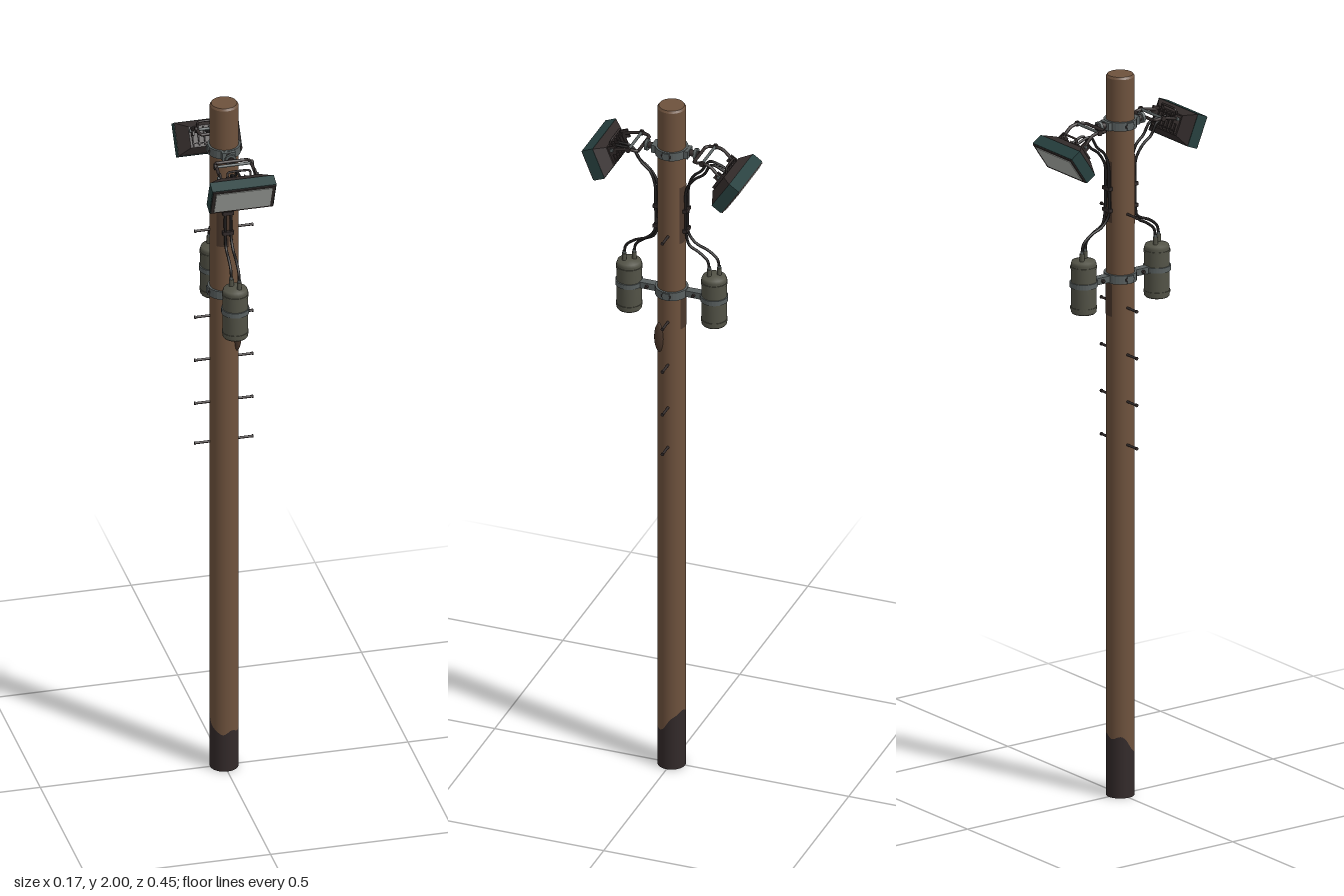
import * as THREE from 'three';

const mat = (name, color, side = THREE.FrontSide) => {
  const m = new THREE.MeshStandardMaterial({ color, side });
  m.name = name;
  return m;
};
const V = (x, y, z) => new THREE.Vector3(x, y, z);

export function createModel() {
  const wood = mat('wood', 0x6e523d);
  const tar = mat('tarred wood', 0x332a2a);
  const stainMat = mat('wood stain', 0x4a372b, THREE.DoubleSide);
  const teal = mat('teal paint', 0x27403f);
  const iron = mat('dark iron', 0x322b2a);
  const steel = mat('galvanised steel', 0x596060);
  const glass = mat('lamp glass', 0xa9aca7);
  const olive = mat('olive paint', 0x535347);
  const rubber = mat('cable rubber', 0x1f1d1d);

  const model = new THREE.Group();
  model.name = 'floodlightPole';

  const add = (parent, name, geo, m, x = 0, y = 0, z = 0) => {
    const mesh = new THREE.Mesh(geo, m);
    mesh.name = name;
    mesh.position.set(x, y, z);
    parent.add(mesh);
    return mesh;
  };
  const box = (p, name, m, w, h, d, x, y, z) => add(p, name, new THREE.BoxGeometry(w, h, d), m, x, y, z);
  const cyl = (p, name, m, r, h, x, y, z, axis = 'y', seg = 16) => {
    const g = new THREE.CylinderGeometry(r, r, h, seg);
    if (axis === 'x') g.rotateZ(Math.PI / 2);
    if (axis === 'z') g.rotateX(Math.PI / 2);
    return add(p, name, g, m, x, y, z);
  };
  const tube = (p, name, m, pts, r, seg = 40) =>
    add(p, name, new THREE.TubeGeometry(new THREE.CatmullRomCurve3(pts, false, 'centripetal'), seg, r, 8), m);
  const ring = (p, name, m, rIn, rOut, h, x, y, z) => {
    const a = h / 2;
    const pts = [[rIn, -a], [rOut, -a], [rOut, a], [rIn, a]].map(q => new THREE.Vector2(...q));
    const g = new THREE.LatheGeometry(pts, 28).toNonIndexed();
    g.computeVertexNormals();
    return add(p, name, g, m, x, y, z);
  };

  // Pole, split along an uneven tar line near the ground
  const R = 0.038;
  const tarLine = (x, z) => 0.142 - 0.027 * Math.tanh(z / 0.016) + 0.006 * Math.sin(x * 130);
  const shaft = (name, m, low, high) => {
    const g = new THREE.CylinderGeometry(R, R, 1, 40, 1, true);
    const p = g.attributes.position;
    for (let i = 0; i < p.count; i++) {
      const t = tarLine(p.getX(i), p.getZ(i));
      p.setY(i, p.getY(i) > 0 ? (high ?? t) : (low ?? t));
    }
    add(model, name, g, m);
  };
  shaft('poleFoot', tar, 0, null);
  shaft('poleShaft', wood, null, 1.994);
  add(model, 'poleTop', new THREE.CylinderGeometry(0.034, R, 0.006, 40), wood, 0, 1.997, 0);
  add(model, 'poleBottom', new THREE.CircleGeometry(R, 40).rotateX(Math.PI / 2), tar);

  // Weathered streaks and a knot on the shaft
  for (const [y, h, start, span] of [[1.68, 0.19, -0.8, 0.9], [1.68, 0.17, 2.5, 1.0], [1.38, 0.09, 2.6, 0.9]])
    add(model, 'stain', new THREE.CylinderGeometry(R + 0.0007, R + 0.0007, h, 10, 1, true, start, span), stainMat, 0, y, 0);
  const knot = add(model, 'knot', new THREE.SphereGeometry(1, 14, 10), stainMat, 0.029, 1.305, 0.022);
  knot.scale.set(0.012, 0.045, 0.016);

  // Climbing pegs
  for (const y of [0.98, 1.1, 1.23, 1.36, 1.62])
    for (const s of [-1, 1]) {
      cyl(model, 'climbingPeg', iron, 0.0035, 0.046, s * 0.057, y, -0.004, 'x', 8);
      cyl(model, 'pegHead', iron, 0.0048, 0.003, s * 0.0785, y, -0.004, 'x', 8);
    }

  // Clamp bands around the pole
  for (const y of [1.865, 1.44]) {
    ring(model, 'poleBand', steel, R - 0.001, 0.044, 0.024, 0, y, 0);
    for (const s of [-1, 1]) {
      box(model, 'bandLug', steel, 0.008, 0.02, 0.02, s * 0.0425, y, 0);
      cyl(model, 'bandBolt', iron, 0.004, 0.026, s * 0.043, y, 0, 'z', 6);
    }
  }

  // Floodlight, glass facing +z with the face centre at its origin
  const floodlight = () => {
    const g = new THREE.Group();
    g.name = 'floodlight';
    box(g, 'lampFrame', teal, 0.174, 0.09, 0.032, 0, 0, -0.019);
    box(g, 'lampRim', iron, 0.17, 0.086, 0.003, 0, 0, -0.0015);
    box(g, 'lampGlass', glass, 0.152, 0.072, 0.002, 0, 0, 0.001);
    const back = new THREE.CylinderGeometry(Math.SQRT1_2 * 0.64, Math.SQRT1_2, 0.022, 4, 1).toNonIndexed();
    back.rotateY(Math.PI / 4).rotateX(-Math.PI / 2).scale(0.172, 0.088, 1);
    back.computeVertexNormals();
    add(g, 'lampBack', back, iron, 0, 0, -0.046);
    for (let i = -3; i <= 3; i++) box(g, 'coolingFin', iron, 0.003, 0.05, 0.008, i * 0.016, 0, -0.06);
    for (const y of [-0.018, 0.018]) box(g, 'finRail', iron, 0.1, 0.003, 0.006, 0, y, -0.059);
    for (const s of [-1, 1]) {
      box(g, 'lampEar', iron, 0.005, 0.024, 0.024, s * 0.048, 0.014, -0.066);
      cyl(g, 'earBolt', steel, 0.005, 0.01, s * 0.051, 0.016, -0.068, 'x', 6);
    }
    return g;
  };

  // One lamp, its transformer and wiring; built toward +z
  const lampSide = (tilt, faceY, faceZ) => {
    const g = new THREE.Group();
    const lamp = floodlight();
    lamp.position.set(0, faceY, faceZ);
    lamp.rotation.x = tilt;
    g.add(lamp);
    const ear = (x, y, z) => V(x, y, z).applyEuler(lamp.rotation).add(lamp.position);

    // Arm and yoke
    box(g, 'armBase', steel, 0.036, 0.022, 0.012, 0, 1.865, 0.046);
    cyl(g, 'arm', iron, 0.009, 0.03, 0, 1.865, 0.062, 'z');
    cyl(g, 'armCollar', steel, 0.016, 0.008, 0, 1.865, 0.069, 'z', 8);
    cyl(g, 'yokeBar', iron, 0.0045, 0.084, 0, 1.865, 0.079, 'x', 8);
    cyl(g, 'pivotBar', steel, 0.004, 0.106, 0, 1.868, 0.104, 'x', 8);
    for (const s of [-1, 1]) {
      tube(g, 'yokeArm', iron, [V(s * 0.036, 1.865, 0.079), V(s * 0.045, 1.866, 0.084), V(s * 0.047, 1.868, 0.104),
        V(s * 0.048, 1.864, 0.125), ear(s * 0.048, 0.016, -0.068)], 0.0045, 20);
      cyl(g, 'pivotNut', iron, 0.008, 0.007, s * 0.05, 1.868, 0.104, 'x', 6);
      tube(g, 'lampHandle', iron, [ear(s * 0.03, 0.022, -0.054), ear(s * 0.03, 0.036, -0.066),
        ear(s * 0.014, 0.038, -0.068), ear(0, 0.038, -0.068)], 0.003, 16);
    }

    // Transformer can
    const profile = [[0, 1.36], [0.031, 1.36], [0.034, 1.364], [0.034, 1.496], [0.031, 1.504], [0.012, 1.508], [0, 1.508]];
    const can = new THREE.LatheGeometry(profile.map(q => new THREE.Vector2(...q)), 24);
    add(g, 'transformerCan', can, olive, 0, 0, 0.12);
    for (const y of [1.375, 1.487]) ring(g, 'canRib', olive, 0.033, 0.0355, 0.006, 0, y, 0.12);
    ring(g, 'canBand', steel, 0.033, 0.037, 0.014, 0, 1.44, 0.12);
    box(g, 'canBracket', steel, 0.022, 0.018, 0.048, 0, 1.44, 0.064);
    cyl(g, 'bracketBolt', iron, 0.005, 0.036, 0, 1.44, 0.066, 'x', 6);

    // Terminals and cables
    for (const s of [-1, 1]) {
      const x = s * 0.008, dz = s * 0.011;
      cyl(g, 'terminal', olive, 0.0065, 0.022, x, 1.516, 0.12 + dz, 'y', 10);
      cyl(g, 'terminalCap', steel, 0.0045, 0.008, x, 1.53, 0.12 + dz, 'y', 10);
      tube(g, 'cable', rubber, [V(x, 1.53, 0.12 + dz), V(x, 1.552, 0.115 + dz), V(x, 1.573, 0.09 + dz),
        V(x, 1.588, 0.06 + dz * 0.6), V(x, 1.615, 0.045), V(x, 1.69, 0.043), V(x, 1.755, 0.045),
        V(x, 1.79, 0.062 - dz * 0.4), V(x, 1.812, 0.088 - dz * 0.6), V(x, 1.845, 0.11 - dz * 0.5),
        ear(x, 0.012, -0.057)], 0.0038, 60);
    }
    for (const y of [1.69, 1.63]) box(g, 'cableClip', iron, 0.03, 0.01, 0.012, 0, y, 0.042);
    return g;
  };

  const front = lampSide(0.39, 1.818, 0.206);
  front.name = 'frontLampAssembly';
  const rear = lampSide(0.59, 1.788, 0.2);
  rear.name = 'rearLampAssembly';
  rear.rotation.y = Math.PI;
  model.add(front, rear);
  return model;
}
